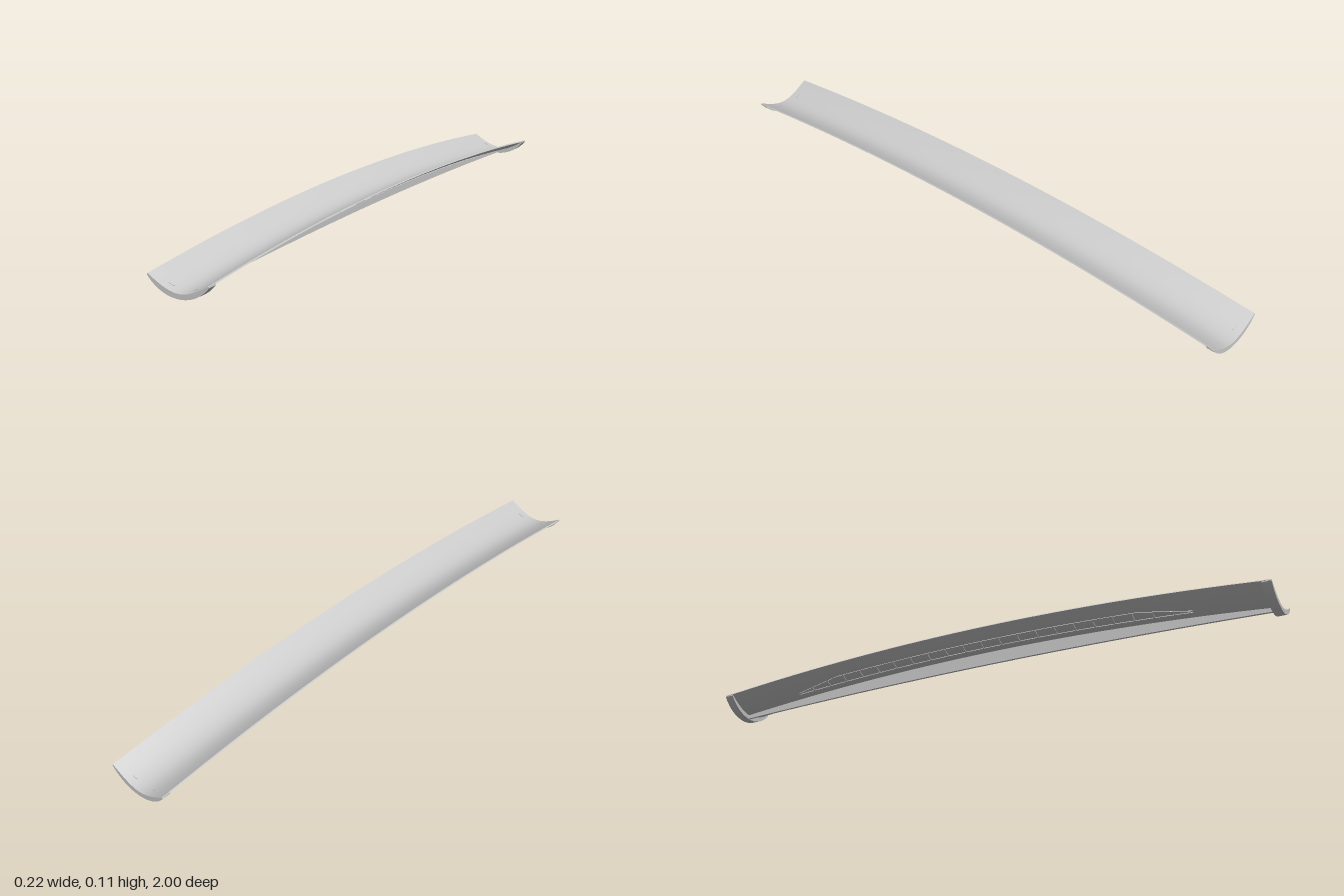
import * as THREE from 'three';

const HALF = 0.107, THICK = 0.0048, RISE = 0.054;
const mat = new THREE.MeshStandardMaterial({ color: 0xcccccc, side: THREE.DoubleSide });

// Top surface of the trough: hollow across x, arched along z
const across = x => 0.062 * (Math.sqrt(1 + (x / 0.08) ** 2) - 1);
const topY = (x, z) => 0.016 + RISE * (1 - z * z) + across(x);

// Point at depth d below the top surface, measured square to the cross-section
function below(x, d, z) {
  const slope = (across(x + 1e-4) - across(x - 1e-4)) / 2e-4;
  const len = Math.hypot(1, slope);
  return [x + d * slope / len, topY(x, z) - d / len, z];
}

// Segmented unit box whose points (u, v, w in 0..1) are placed by a rule
function shaped(name, nx, nz, rule) {
  const g = new THREE.BoxGeometry(1, 1, 1, nx, 1, nz);
  const p = g.attributes.position;
  for (let i = 0; i < p.count; i++) {
    p.setXYZ(i, ...rule(p.getX(i) + 0.5, p.getY(i) + 0.5, p.getZ(i) + 0.5));
  }
  g.computeVertexNormals();
  const m = new THREE.Mesh(g, mat);
  m.name = name;
  return m;
}

const mix = THREE.MathUtils.lerp;

// Low rib on the underside, running from (xa, za) to (xb, zb)
const lengthRib = (xa, za, xb, zb) => shaped('lengthRib', 1, 24, (u, v, w) =>
  below(mix(xa, xb, w) + (u - 0.5) * 0.003, mix(THICK + 0.0025, THICK - 0.001, v), mix(za, zb, w)));
const crossRib = (xa, xb, z) => shaped('crossRib', 5, 1, (u, v, w) =>
  below(mix(xa, xb, u), mix(THICK + 0.0025, THICK - 0.001, v), z + (w - 0.5) * 0.004));

export function createModel() {
  const model = new THREE.Group();
  model.name = 'archedTrough';

  // Thin curved shell
  model.add(shaped('shell', 28, 48, (u, v, w) =>
    below(mix(-HALF, HALF, u), (1 - v) * THICK, mix(-1, 1, w))));

  // Central web: follows the shell above, shallow arch below
  model.add(shaped('centreWeb', 1, 48, (u, v, w) => {
    const z = mix(-0.985, 0.985, w);
    return [(u - 0.5) * 0.008, mix(0.022 * (1 - z * z), topY(0, z) - THICK * 0.6, v), z];
  }));

  for (const s of [-1, 1]) {
    // Crescent stiffener under each end
    model.add(shaped('endCrescent', 28, 1, (u, v, w) => {
      const x = mix(-0.109, 0.109, u), z = s * 0.985 + (w - 0.5) * 0.03;
      const top = topY(x, z) - THICK * 0.5;
      const low = 0.14 - Math.sqrt(0.14 * 0.14 - x * x);
      return [x, v ? top : Math.min(low, top - 0.001), z];
    }));

    for (const side of [-1, 1]) {
      // Small tabs showing through the shell at the ends
      model.add(shaped('endTab', 4, 1, (u, v, w) =>
        below(side * 0.045 + (u - 0.5) * 0.018, mix(0.004, -0.0015, v), s * 0.972 + (w - 0.5) * 0.006)));
      // Tapered end of the rib grid
      model.add(lengthRib(side * 0.06, s * 0.56, side * 0.036, s * 0.73));
    }
  }

  // Rib grid on the underside, either side of the web
  for (const side of [-1, 1]) {
    model.add(lengthRib(side * 0.06, -0.56, side * 0.06, 0.56));
    model.add(lengthRib(side * 0.03, -0.73, side * 0.03, 0.73));
    for (let i = -10; i <= 10; i++) {
      const z = i * 0.067;
      const outer = 0.06 - Math.max(0, Math.abs(z) - 0.56) * 0.14;
      model.add(crossRib(side * 0.03, side * outer, z));
    }
  }
  // Mirrored ribs are built with reversed spans, so restore their winding
  model.traverse(o => {
    if (o.name === 'crossRib' && o.geometry.attributes.position.getX(0) < 0) {
      const ix = o.geometry.index.array;
      for (let i = 0; i < ix.length; i += 3) [ix[i], ix[i + 1]] = [ix[i + 1], ix[i]];
      o.geometry.computeVertexNormals();
    }
    if (o.name === 'lengthRib') {
      const p = o.geometry.attributes.position, ix = o.geometry.index.array;
      const zs = Array.from({ length: p.count }, (_, i) => p.getZ(i));
      // The +z face of the source box holds the last vertices before the -z face
      const n = p.count - 8;
      if (zs[n] < zs[p.count - 1]) {
        for (let i = 0; i < ix.length; i += 3) [ix[i], ix[i + 1]] = [ix[i + 1], ix[i]];
        o.geometry.computeVertexNormals();
      }
    }
  });
  return model;
}
